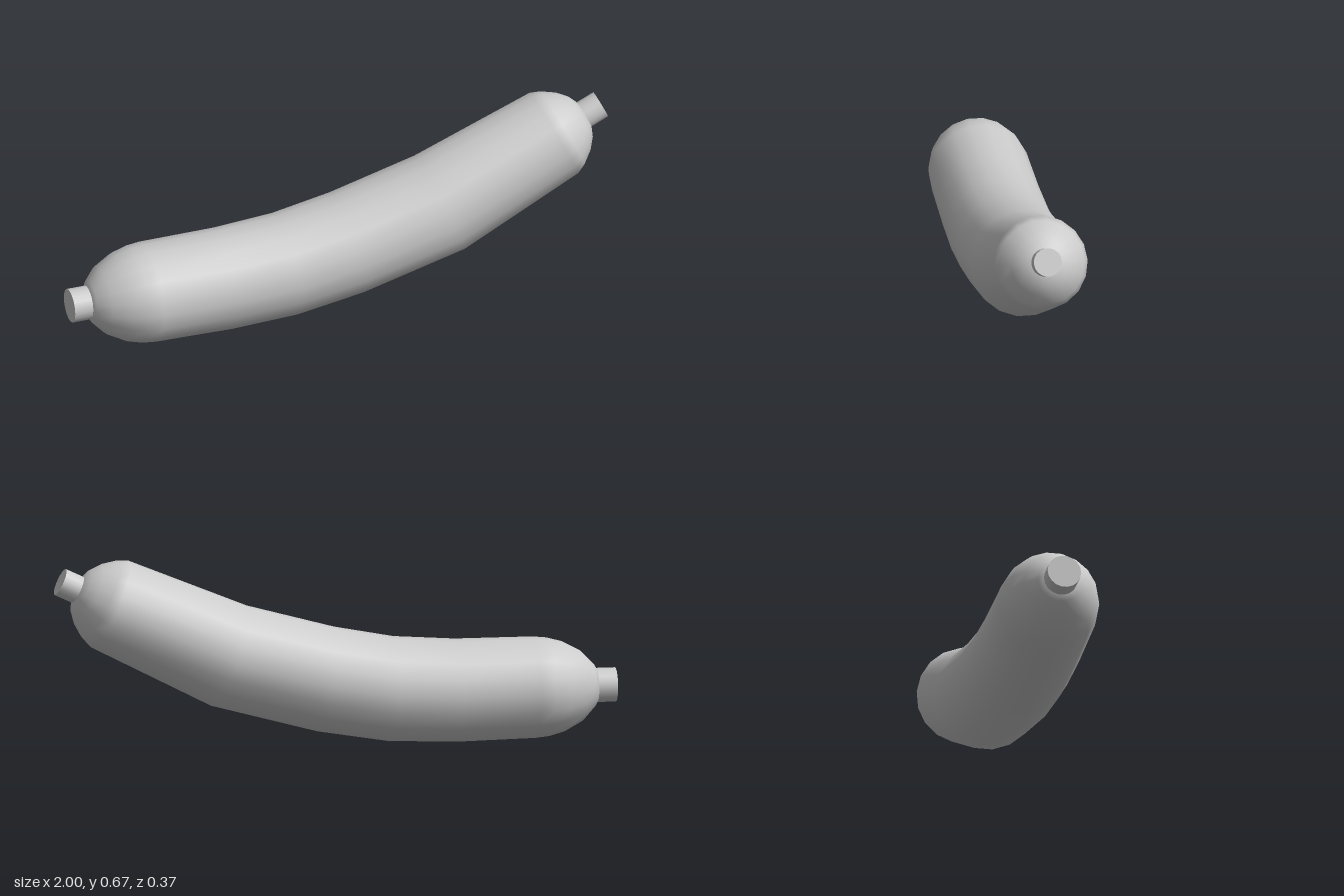
import * as THREE from 'three';

const SIDES = 18;
const material = new THREE.MeshStandardMaterial({ color: 0xcccccc });

// Skin through tilted round rings: [x, y, tilt in degrees, radius]
function skin(rings) {
  const positions = [], index = [];
  rings.forEach(([x, y, tilt, r], i) => {
    const a = THREE.MathUtils.degToRad(tilt);
    for (let j = 0; j < SIDES; j++) {
      const t = ((j + 0.5) / SIDES) * Math.PI * 2;
      const up = Math.cos(t) * r;
      positions.push(x - Math.sin(a) * up, y + Math.cos(a) * up, Math.sin(t) * r);
      if (i === rings.length - 1) continue;
      const p = i * SIDES + j, q = i * SIDES + (j + 1) % SIDES;
      index.push(p, q, p + SIDES, q, q + SIDES, p + SIDES);
    }
  });
  const geometry = new THREE.BufferGeometry();
  geometry.setAttribute('position', new THREE.Float32BufferAttribute(positions, 3));
  geometry.setIndex(index);
  geometry.computeVertexNormals();
  return geometry;
}

// Short tied end between two points
function stub(name, radius, from, to) {
  const a = new THREE.Vector3(...from, 0), b = new THREE.Vector3(...to, 0);
  const mesh = new THREE.Mesh(new THREE.CylinderGeometry(radius, radius, a.distanceTo(b), SIDES), material);
  mesh.position.lerpVectors(a, b, 0.5);
  mesh.rotation.z = Math.atan2(b.y - a.y, b.x - a.x) - Math.PI / 2;
  mesh.name = name;
  return mesh;
}

export function createModel() {
  const group = new THREE.Group();
  group.name = 'sausage';

  // Rounded ends: [distance along the axis, radius]
  const leftCap = [[-0.228, 0], [-0.226, 0.055], [-0.212, 0.078], [-0.17, 0.123], [-0.105, 0.158], [-0.05, 0.173]];
  const rightCap = [[0.036, 0.15], [0.08, 0.118], [0.11, 0.083], [0.127, 0.045], [0.129, 0]];
  const tilt = 25.4, a = THREE.MathUtils.degToRad(tilt);
  const rightAt = d => [0.8 + Math.cos(a) * d, 0.5275 + Math.sin(a) * d];

  // Curved body
  const rings = [
    ...leftCap.map(([d, r]) => [-0.71 + d, 0.184, 0, r]),
    [-0.71, 0.184, 0, 0.178],
    [-0.43, 0.182, 1, 0.181],
    [-0.2, 0.195, 5, 0.184],
    [0.03, 0.236, 11, 0.186],
    [0.375, 0.33, 22, 0.187],
    [...rightAt(0), tilt, 0.166],
    ...rightCap.map(([d, r]) => [...rightAt(d), tilt, r]),
  ];
  const body = new THREE.Mesh(skin(rings), material);
  body.name = 'body';

  group.add(
    body,
    stub('rightEnd', 0.06, [-0.9, 0.185], [-1, 0.185]),
    stub('leftEnd', 0.05, rightAt(0.09), rightAt(0.193)),
  );
  return group;
}
